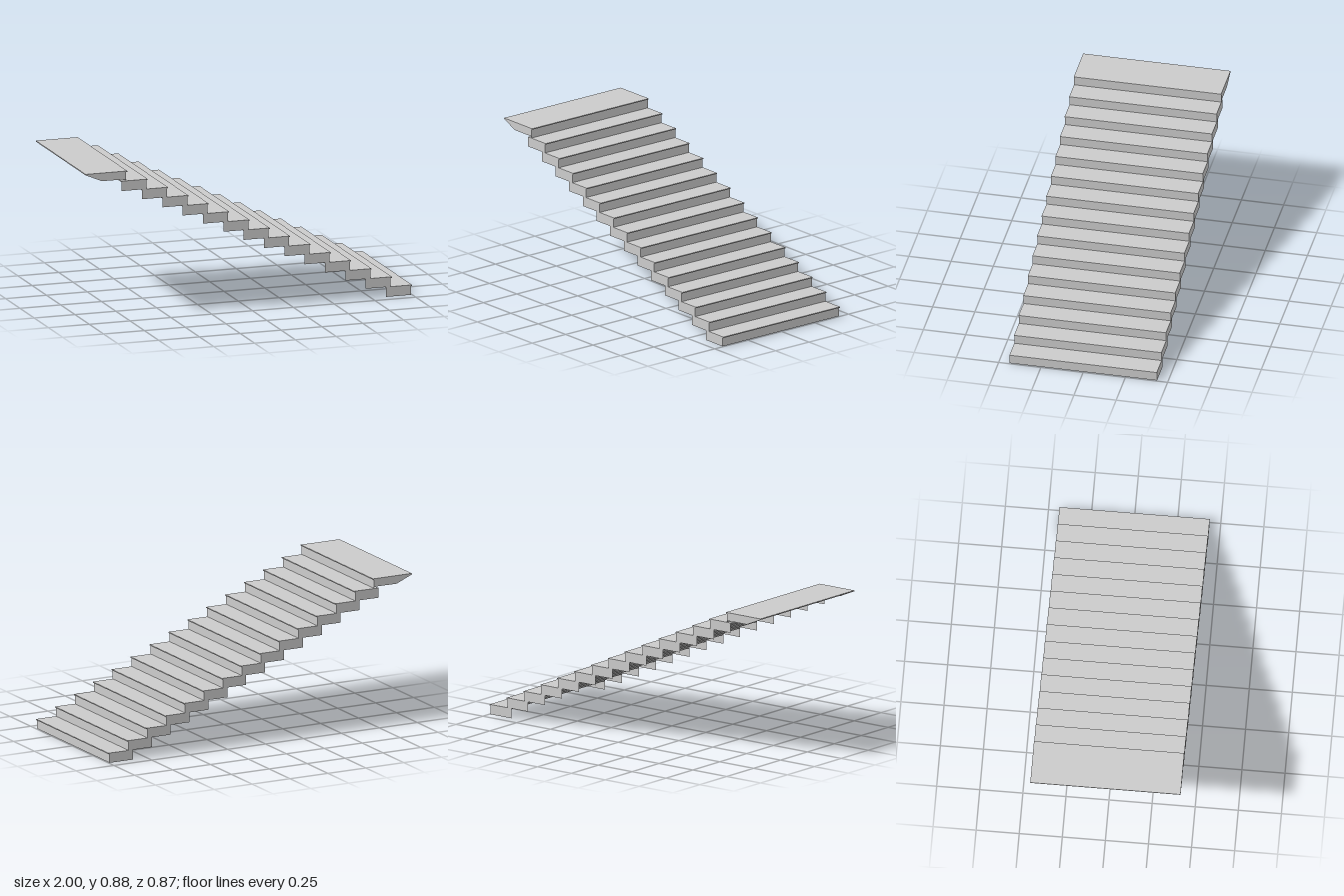
import * as THREE from 'three';

const STEPS = 15, RISE = 0.0585, RUN = 0.1246;
const WIDTH = 0.872, TREAD = 0.006, NOSING = 0.007, DEPTH = 0.16;

export function createModel() {
  const group = new THREE.Group();
  group.name = 'staircase';
  const material = new THREE.MeshStandardMaterial({ color: 0xcccccc, flatShading: true, side: THREE.DoubleSide });

  const add = (parent, name, geometry, x, y, z) => {
    const mesh = new THREE.Mesh(geometry, material);
    mesh.name = name;
    mesh.position.set(x, y, z);
    parent.add(mesh);
    return mesh;
  };

  for (let i = 0; i < STEPS; i++) {
    const top = i === STEPS - 1;
    const step = new THREE.Group();
    step.name = top ? 'landing' : 'step';
    // Origin of each step: front edge of the tread, at the foot of the riser
    step.position.set(1 - i * RUN, i * RISE, 0);
    group.add(step);

    // Thin tread slab, overhanging the riser as a nosing
    const depth = top ? 2 - i * RUN : DEPTH;
    add(step, 'tread', new THREE.BoxGeometry(depth, TREAD, WIDTH), -depth / 2, RISE - TREAD / 2, 0);

    // Riser sheet; the underside is open
    const h = RISE - TREAD;
    const riser = add(step, 'riser', new THREE.PlaneGeometry(WIDTH, h), -NOSING, h / 2, 0);
    riser.rotation.y = Math.PI / 2;

    // Side panels; the landing's taper to a point at the back
    const low = top ? 0.01 : 0;
    const panel = new THREE.Shape([
      new THREE.Vector2(-NOSING, low),
      new THREE.Vector2(-NOSING, h),
      new THREE.Vector2(-depth, h),
      new THREE.Vector2(top ? -depth + 0.1 : -depth, low),
    ]);
    for (const side of [-1, 1]) {
      add(step, 'sidePanel', new THREE.ShapeGeometry(panel), 0, 0, side * WIDTH / 2);
    }
  }
  return group;
}
